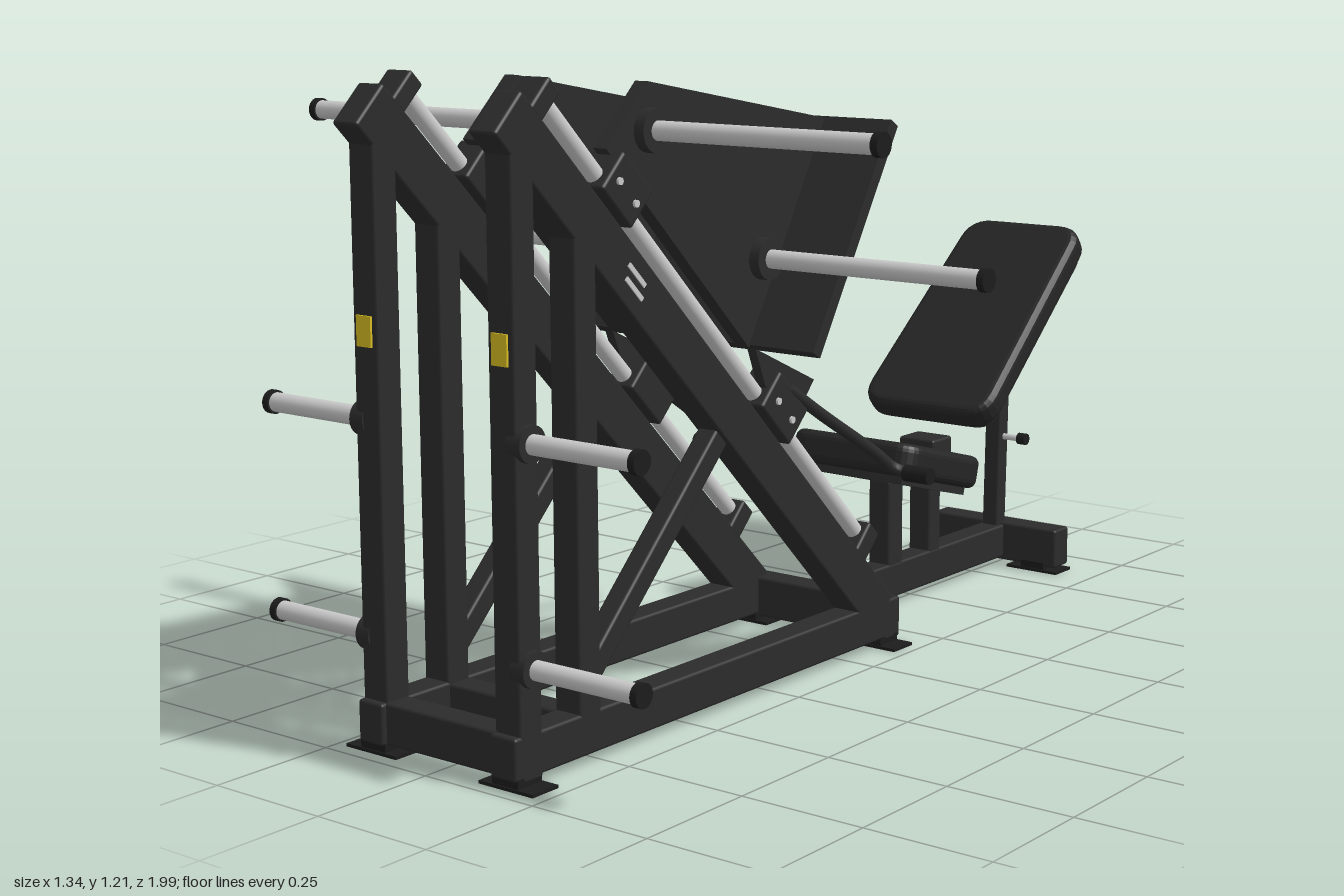
import * as THREE from 'three';
import { RoundedBoxGeometry } from 'three/addons/geometries/RoundedBoxGeometry.js';

const paint = (name, color) => {
  const m = new THREE.MeshStandardMaterial({ color });
  m.name = name;
  return m;
};

export function createModel() {
  const frame = paint('charcoal frame', 0x2b2b2b);
  const vinyl = paint('black vinyl', 0x252525);
  const rubber = paint('black rubber', 0x1c1c1c);
  const steel = paint('bright steel', 0xc8c8c8);
  const yellow = paint('yellow label', 0xd6bc22);

  const model = new THREE.Group();
  model.name = 'legPressMachine';
  const SIDES = [1, -1];

  const add = (name, geo, mat, x = 0, y = 0, z = 0, parent = model) => {
    const m = new THREE.Mesh(geo, mat);
    m.name = name;
    m.position.set(x, y, z);
    parent.add(m);
    return m;
  };
  const box = (name, w, h, d, x, y, z, mat = frame, parent = model) =>
    add(name, new THREE.BoxGeometry(w, h, d), mat, x, y, z, parent);
  const tube = (name, w, h, d, x, y, z, parent = model) =>
    add(name, new RoundedBoxGeometry(w, h, d, 2, 0.006), frame, x, y, z, parent);
  // Cylinder lying along x between two x values
  const rodX = (name, r, x0, x1, y, z, mat) => {
    const g = new THREE.CylinderGeometry(r, r, Math.abs(x1 - x0), 24);
    g.rotateZ(Math.PI / 2);
    return add(name, g, mat, (x0 + x1) / 2, y, z);
  };
  // Square bar between two (z, y) points
  const strut = (name, w, t, x, z0, y0, z1, y1) => {
    const m = tube(name, w, t, Math.hypot(z1 - z0, y1 - y0), x, (y0 + y1) / 2, (z0 + z1) / 2);
    m.rotation.x = -Math.atan2(y1 - y0, z1 - z0);
    return m;
  };
  // Flat plate with a (z, y) outline and thickness in x
  const sidePlate = (name, pts, t, x) => {
    const shape = new THREE.Shape(pts.map(p => new THREE.Vector2(...p)));
    const g = new THREE.ExtrudeGeometry(shape, { depth: t, bevelEnabled: false });
    g.translate(0, 0, -t / 2);
    g.rotateY(-Math.PI / 2);
    return add(name, g, frame, x);
  };
  // Cushion with rounded corners, lying flat, tapering towards -z
  const cushion = (w0, w1, len, t, r, bevel) => {
    const a = w0 / 2 - bevel, b = w1 / 2 - bevel, h = len / 2 - bevel;
    const s = new THREE.Shape();
    s.moveTo(-a + r, -h);
    s.lineTo(a - r, -h);
    s.quadraticCurveTo(a, -h, a, -h + r);
    s.lineTo(b, h - r);
    s.quadraticCurveTo(b, h, b - r, h);
    s.lineTo(-b + r, h);
    s.quadraticCurveTo(-b, h, -b, h - r);
    s.lineTo(-a, -h + r);
    s.quadraticCurveTo(-a, -h, -a + r, -h);
    const g = new THREE.ExtrudeGeometry(s, {
      depth: t - 2 * bevel, bevelThickness: bevel, bevelSize: bevel, bevelSegments: 4, curveSegments: 6,
    });
    g.translate(0, 0, -t / 2 + bevel);
    g.rotateX(-Math.PI / 2);
    return g;
  };
  // Plate storage peg with collar and end cap
  const horn = (side, root, tip, y, z, collar) => {
    rodX('hornCollar', collar, side * (root - 0.02), side * (root + 0.012), y, z, frame);
    rodX('weightHorn', 0.018, side * root, side * (tip - 0.012), y, z, steel);
    rodX('hornEndCap', 0.022, side * (tip - 0.014), side * tip, y, z, rubber);
  };

  // Base
  tube('frontCrossbar', 0.3, 0.078, 0.058, 0, 0.057, 0.935);
  tube('innerCrossbar', 0.3, 0.07, 0.058, 0, 0.057, 0.775);
  tube('middleCrossbar', 0.38, 0.085, 0.06, 0, 0.055, -0.15);
  tube('spineRail', 0.056, 0.076, 0.72, 0, 0.057, -0.51);
  tube('rearCrossbar', 0.33, 0.088, 0.06, 0, 0.056, -0.87);

  // Inclined track: local z runs up the slope, local y points away from it
  const track = new THREE.Group();
  track.name = 'inclinedTrack';
  track.position.set(0, 0.19, 0);
  track.rotation.x = -Math.PI / 4;
  model.add(track);

  for (const s of SIDES) {
    const x = s * 0.16;
    tube('baseRail', 0.06, 0.078, 1.14, x, 0.057, 0.405);
    tube('frontPost', 0.06, 1.08, 0.056, x, 0.55, 0.933);
    tube('innerPost', 0.06, 0.92, 0.056, x, 0.48, 0.78);
    strut('diagonalBrace', 0.045, 0.045, x, 0.78, 0.14, 0.36, 0.56);
    box('postLabel', 0.035, 0.055, 0.005, x, 0.76, 0.963, yellow);

    // Feet
    for (const [fx, w, z] of [[0.163, 0.125, 0.94], [0.163, 0.125, -0.14], [0.108, 0.13, -0.865]]) {
      box('footPlate', w, 0.006, 0.065, s * fx, 0.003, z, rubber);
      box('footPad', 0.06, 0.02, 0.06, s * Math.min(fx, 0.16), 0.012, z, rubber);
    }

    // Track rail, guide rod and its end blocks
    tube('trackRail', 0.06, 0.095, 1.535, x, 0, 0.597, track);
    const rod = new THREE.CylinderGeometry(0.017, 0.017, 1.34, 24);
    rod.rotateX(Math.PI / 2);
    add('guideRod', rod, steel, x, 0.085, 0.645, track);
    tube('upperRodBlock', 0.06, 0.07, 0.04, x, 0.075, 1.31, track);
    tube('lowerRodBlock', 0.06, 0.07, 0.045, x, 0.075, -0.015, track);
    for (const t of [-0.011, 0.011]) {
      box('railStripe', 0.004, 0.009, 0.06, s * 0.191, t, 0.92 + t * 0.5, steel, track);
    }

    // Carriage bearings
    for (const [p, len] of [[1.05, 0.11], [0.41, 0.125]]) {
      tube('bearingBlock', 0.07, 0.085, len, x, 0.1, p, track);
      for (const o of [-0.03, 0.03]) {
        const bolt = new THREE.CylinderGeometry(0.007, 0.007, 0.006, 10);
        bolt.rotateZ(Math.PI / 2);
        add('bearingBolt', bolt, steel, s * 0.197, 0.095, p + o, track);
      }
    }

    // Carriage side plates and handle brackets
    sidePlate('carriagePlate',
      [[0.70, 1.075], [0.587, 1.185], [0.062, 1.09], [0.30, 0.675]], 0.03, s * 0.155);
    sidePlate('handleBracket',
      [[0.30, 0.675], [0.115, 0.59], [0.17, 0.53], [0.27, 0.6]], 0.02, s * 0.175);

    // Weight horns
    horn(s, 0.18, 0.67, 1.10, 0.587, 0.04);
    horn(s, 0.18, 0.67, 0.84, 0.26, 0.04);
    horn(s, 0.19, 0.44, 0.60, 0.932, 0.033);
    horn(s, 0.19, 0.44, 0.21, 0.932, 0.033);

    // Release handles
    const path = new THREE.CatmullRomCurve3([
      [0.185, 0.585, 0.2], [0.192, 0.52, 0.1], [0.207, 0.42, -0.06],
      [0.217, 0.382, -0.11], [0.24, 0.373, -0.123], [0.29, 0.37, -0.125],
    ].map(p => new THREE.Vector3(s * p[0], p[1], p[2])));
    add('releaseHandle', new THREE.TubeGeometry(path, 32, 0.012, 12), frame);
    rodX('handleGrip', 0.017, s * 0.238, s * 0.298, 0.371, -0.125, rubber);
  }

  // Footplate
  const press = new THREE.Group();
  press.name = 'footplate';
  press.position.set(0, 0.88, 0.165);
  press.rotation.x = -Math.atan2(0.25, 0.415);
  model.add(press);
  box('pressPlate', 0.635, 0.48, 0.026, 0, 0, 0, frame, press);
  box('pressPlateLabel', 0.032, 0.032, 0.004, 0.275, 0.2, -0.015, yellow, press);

  // Seat
  const seat = new THREE.Group();
  seat.name = 'seat';
  seat.position.set(0, 0.322, -0.403);
  seat.rotation.x = -0.27;
  model.add(seat);
  add('seatCushion', cushion(0.315, 0.315, 0.305, 0.07, 0.03, 0.018), vinyl, 0, 0, 0, seat);
  box('seatPan', 0.24, 0.018, 0.25, 0, -0.042, -0.015, frame, seat);
  tube('seatPost', 0.054, 0.2, 0.054, 0, 0.18, -0.403);
  tube('hingePost', 0.054, 0.25, 0.045, 0, 0.21, -0.555);
  tube('hingeBracket', 0.09, 0.05, 0.075, 0, 0.322, -0.555);

  // Backrest
  const back = new THREE.Group();
  back.name = 'backrest';
  back.position.set(0, 0.574, -0.767);
  back.rotation.x = 0.705;
  model.add(back);
  add('backCushion', cushion(0.33, 0.305, 0.57, 0.06, 0.045, 0.018), vinyl, 0, 0.005, 0, back);
  add('backPanel', cushion(0.29, 0.27, 0.53, 0.018, 0.04, 0.004), frame, 0, -0.033, 0, back);
  tube('backSpine', 0.05, 0.025, 0.46, 0, -0.05, 0.02, back);
  strut('backrestPost', 0.04, 0.038, 0, -0.842, 0.08, -0.857, 0.56);

  // Adjustment pin
  rodX('adjustmentPin', 0.007, 0.015, 0.065, 0.3, -0.849, steel);
  rodX('pinKnob', 0.013, 0.06, 0.08, 0.3, -0.849, rubber);

  return model;
}
